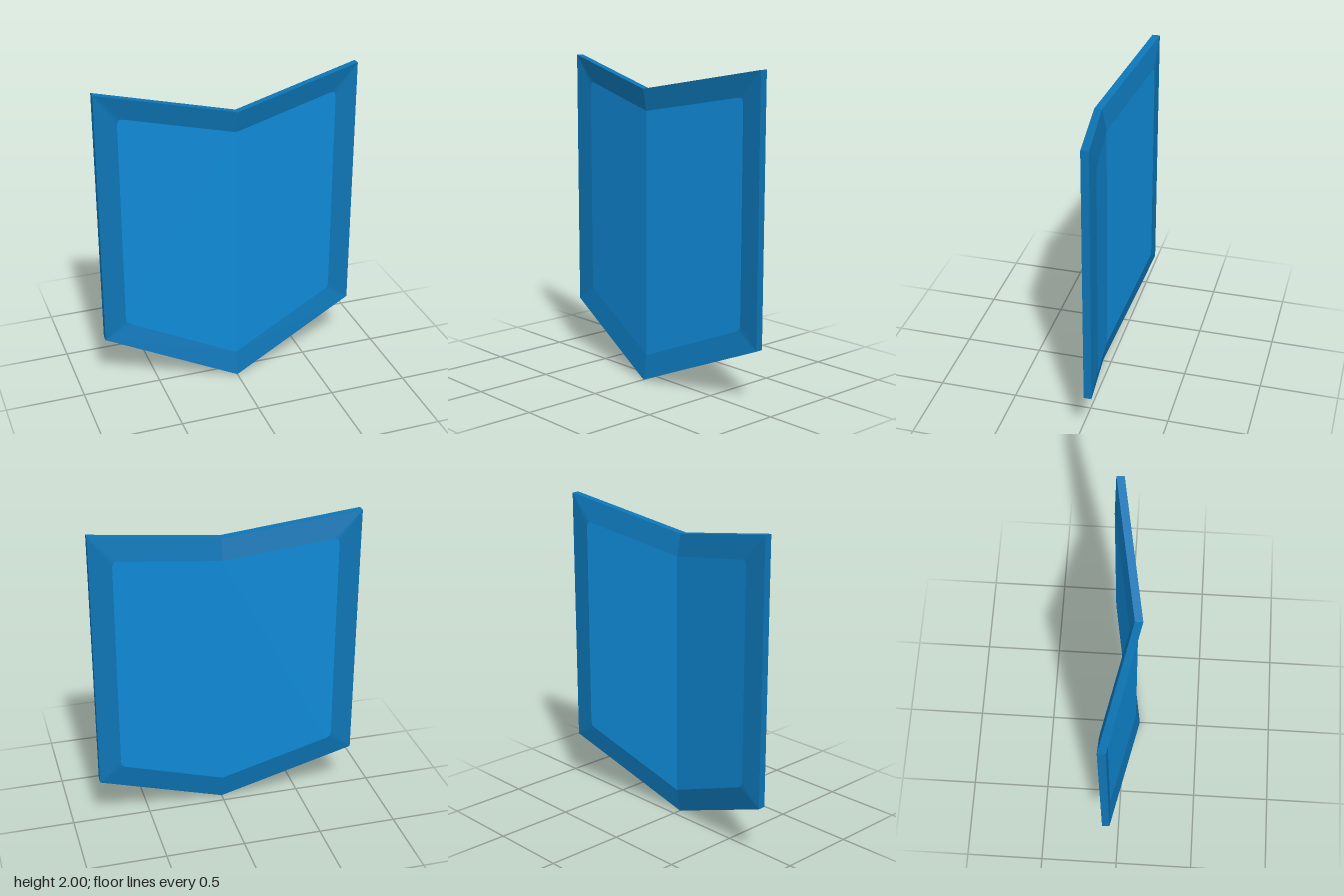
import * as THREE from 'three';

const SLOPE = 0.187;   // how far the plate folds back per unit of width
const THICK = 0.048;
const RECESS = 0.028;  // the panel sits this far behind the rim

// Right-hand half outlines, from top centre down to bottom centre (matching points)
const OUTER = [[0, 1.845], [0.83, 2], [0.83, 2], [0.83, 2], [0.83, 0.345], [0.83, 0.345], [0.83, 0.345], [0, 0]];
const INNER = [[0, 1.708], [0.66, 1.831], [0.682, 1.828], [0.692, 1.80], [0.692, 0.475], [0.685, 0.447], [0.662, 0.432], [0, 0.157]];

// Places an outline point on the folded plate
const place = ([x, y], depth) => [x, y, 0.103 - SLOPE * x - depth];

function build(name, material, triangles) {
  const positions = [];
  for (const [a, b, c] of triangles) {
    positions.push(...a, ...b, ...c);
    // mirrored half, with reversed corner order
    for (const p of [a, c, b]) positions.push(-p[0], p[1], p[2]);
  }
  const geometry = new THREE.BufferGeometry();
  geometry.setAttribute('position', new THREE.Float32BufferAttribute(positions, 3));
  geometry.computeVertexNormals();
  const mesh = new THREE.Mesh(geometry, material);
  mesh.name = name;
  return mesh;
}

// Strip of faces between two matching loops
function strip(a, b, flip = false) {
  const out = [];
  const same = (p, q) => p.every((v, k) => v === q[k]);
  for (let i = 0; i < a.length - 1; i++) {
    for (const t of [[a[i], b[i], b[i + 1]], [a[i], b[i + 1], a[i + 1]]]) {
      if (same(t[0], t[1]) || same(t[1], t[2]) || same(t[0], t[2])) continue;
      out.push(flip ? [t[0], t[2], t[1]] : t);
    }
  }
  return out;
}

// Fan filling one half of the panel
function fan(loop, flip = false) {
  const out = [];
  for (let i = 1; i < loop.length - 1; i++) {
    out.push(flip ? [loop[0], loop[i], loop[i + 1]] : [loop[0], loop[i + 1], loop[i]]);
  }
  return out;
}

export function createModel() {
  const panelBlue = new THREE.MeshStandardMaterial({ color: 0x0f8ad6 });
  panelBlue.name = 'panel blue';
  const rimBlue = new THREE.MeshStandardMaterial({ color: 0x0d75b5 });
  rimBlue.name = 'rim blue';

  const outerFront = OUTER.map(p => place(p, 0));
  const outerBack = OUTER.map(p => place(p, THICK));
  const innerFront = INNER.map(p => place(p, RECESS));
  const innerBack = INNER.map(p => place(p, RECESS + THICK));

  const group = new THREE.Group();
  group.name = 'foldedPlate';
  group.add(
    build('frontPanel', panelBlue, fan(innerFront)),
    build('backPanel', panelBlue, fan(innerBack, true)),
    build('frontRim', rimBlue, strip(outerFront, innerFront)),
    build('backRim', rimBlue, strip(outerBack, innerBack, true)),
    build('outerEdge', rimBlue, strip(outerFront, outerBack, true)),
  );
  return group;
}
